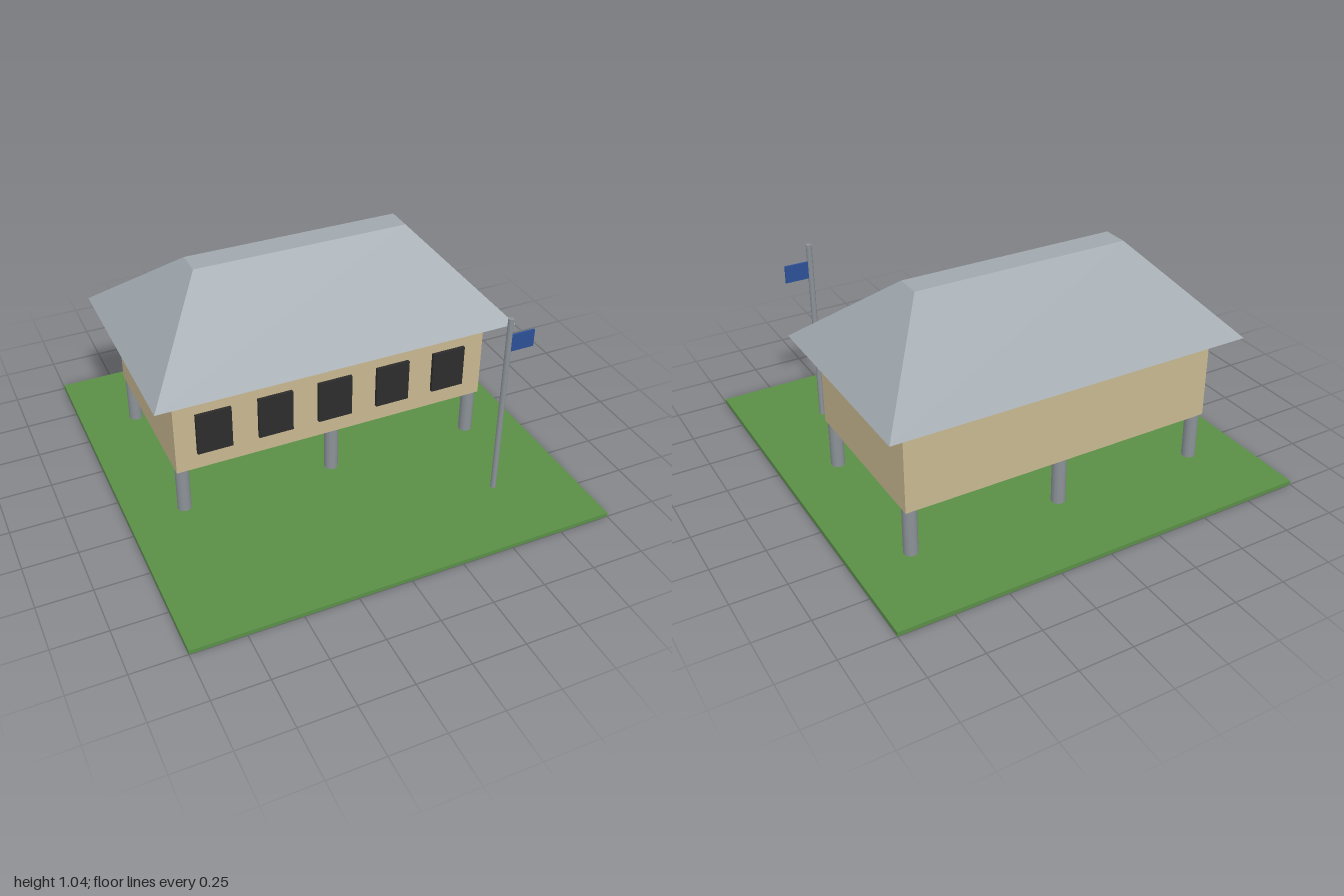
import * as THREE from 'three';

const material = (name, color) => {
  const m = new THREE.MeshStandardMaterial({ color });
  m.name = name;
  return m;
};

export function createModel() {
  const grass = material('grass green', 0x5a8f47);
  const wall = material('wall tan', 0xc8b890);
  const roofGrey = material('roof grey', 0xa0a8ae);
  const postGrey = material('post grey', 0x8c9298);
  const dark = material('window dark', 0x2c2c2c);
  const blue = material('flag blue', 0x2c5096);

  const model = new THREE.Group();
  model.name = 'raisedHouse';

  const add = (name, geometry, mat, x, y, z, parent = model) => {
    const mesh = new THREE.Mesh(geometry, mat);
    mesh.name = name;
    mesh.position.set(x, y, z);
    parent.add(mesh);
    return mesh;
  };
  const group = (name) => {
    const g = new THREE.Group();
    g.name = name;
    model.add(g);
    return g;
  };

  const houseZ = -0.207;

  // Ground slab
  add('ground', new THREE.BoxGeometry(2, 0.02, 2), grass, 0, 0.01, 0);

  // Walls
  add('walls', new THREE.BoxGeometry(1.536, 0.42, 0.83), wall, 0, 0.46, houseZ);

  // Hipped roof with a narrow flat ridge: a box with its top drawn in
  const roof = new THREE.BoxGeometry(1.744, 0.375, 1.04);
  const p = roof.attributes.position;
  for (let i = 0; i < p.count; i++) {
    if (p.getY(i) > 0) {
      p.setX(i, Math.sign(p.getX(i)) * 0.521);
      p.setZ(i, Math.sign(p.getZ(i)) * 0.062);
    }
  }
  roof.computeVertexNormals();
  add('roof', roof, roofGrey, 0, 0.8575, houseZ);

  // Stilts: two rows of three
  const stilts = group('stilts');
  const stilt = new THREE.CylinderGeometry(0.033, 0.033, 0.245, 12);
  for (const x of [-0.735, 0, 0.735]) {
    for (const z of [-0.38, 0.38]) {
      add('stilt', stilt, postGrey, x, 0.1325, houseZ + z, stilts);
    }
  }

  // Front windows
  const windows = group('windows');
  const pane = new THREE.BoxGeometry(0.166, 0.208, 0.02);
  for (let i = -2; i <= 2; i++) {
    add('window', pane, dark, i * 0.292 - 0.002, 0.44, 0.214, windows);
  }

  // Flagpole and flag
  add('flagpole', new THREE.CylinderGeometry(0.0135, 0.0135, 0.925, 10), postGrey, 0.624, 0.4775, 0.626);
  add('flag', new THREE.BoxGeometry(0.12, 0.084, 0.009), blue, 0.69, 0.814, 0.626);

  return model;
}
